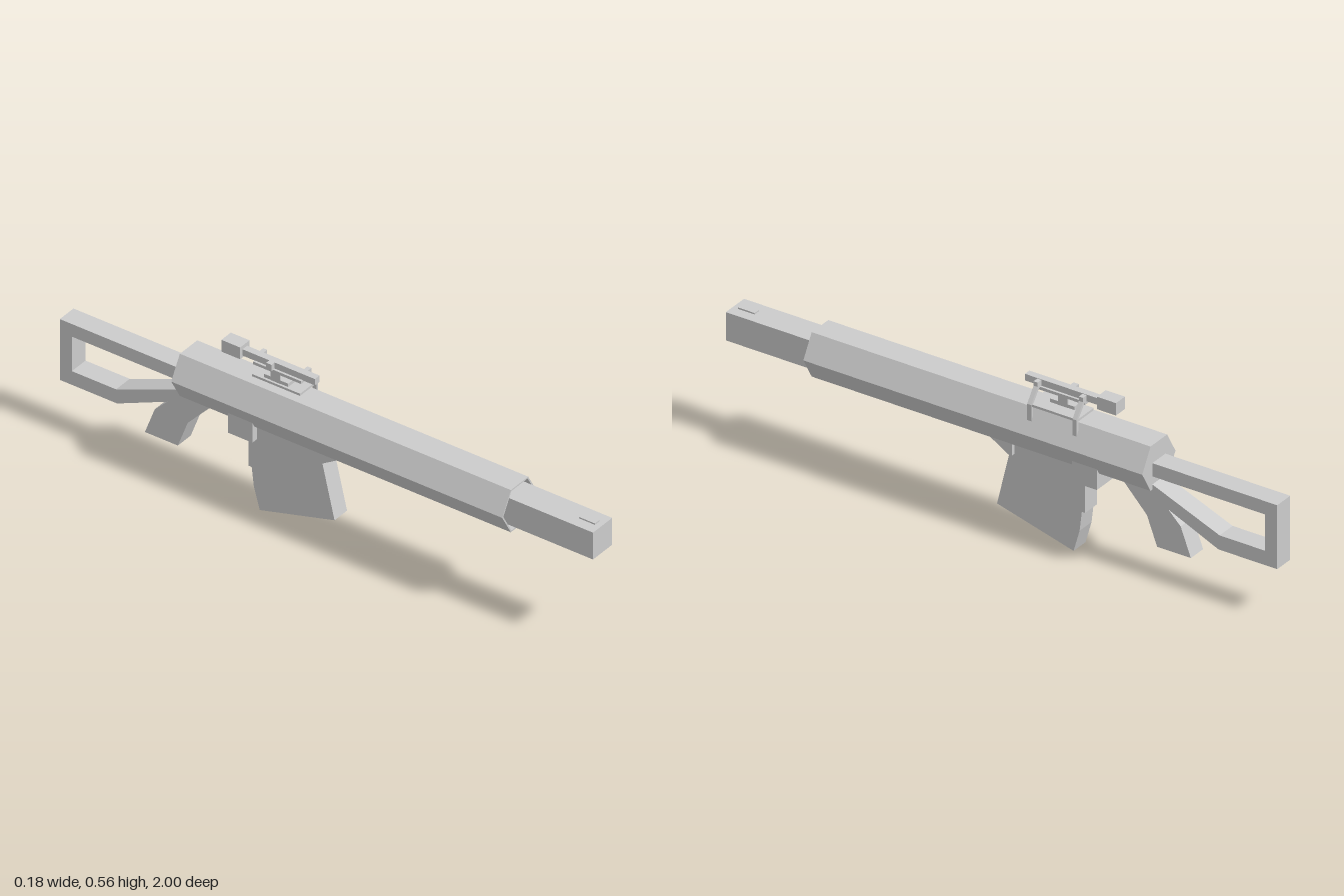
import * as THREE from 'three';

const material = new THREE.MeshStandardMaterial({ color: 0xcccccc, flatShading: true });

function polygon(points) {
  return new THREE.Shape(points.map(([a, b]) => new THREE.Vector2(a, b)));
}

export function createModel() {
  const model = new THREE.Group();

  function add(name, geometry) {
    const mesh = new THREE.Mesh(geometry, material);
    mesh.name = name;
    model.add(mesh);
    return mesh;
  }
  // Box given by its extents on each axis
  function box(name, [x0, x1], [y0, y1], [z0, z1]) {
    const mesh = add(name, new THREE.BoxGeometry(x1 - x0, y1 - y0, z1 - z0));
    mesh.position.set((x0 + x1) / 2, (y0 + y1) / 2, (z0 + z1) / 2);
  }
  // Side outline in (z, y), extruded symmetrically across x
  function sidePlate(name, points, width, hole) {
    const shape = polygon(points);
    if (hole) shape.holes.push(polygon(hole));
    const geometry = new THREE.ExtrudeGeometry(shape, { depth: width, bevelEnabled: false });
    geometry.translate(0, 0, -width / 2).rotateY(-Math.PI / 2);
    add(name, geometry);
  }
  // Front outline in (x, y), extruded from z0 to z1
  function frontPlate(name, points, z0, z1, hole) {
    const shape = polygon(points);
    if (hole) shape.holes.push(polygon(hole));
    const geometry = new THREE.ExtrudeGeometry(shape, { depth: z1 - z0, bevelEnabled: false });
    add(name, geometry.translate(0, 0, z0));
  }
  const hexagon = (r) => Array.from({ length: 6 }, (_, i) => {
    const a = (i * Math.PI) / 3;
    return [r * Math.cos(a), 0.387 + r * Math.sin(a)];
  });

  // Hexagonal body with a recessed front rim
  frontPlate('body', hexagon(0.089), -0.545, 0.65);
  frontPlate('bodyRim', hexagon(0.089), 0.65, 0.69, hexagon(0.083));

  // Square barrel with its small front bead
  box('barrel', [-0.049, 0.049], [0.338, 0.436], [0.6, 1]);
  box('frontBead', [-0.012, 0.012], [0.43, 0.441], [0.92, 0.98]);

  // Open-frame shoulder stock
  sidePlate('stock', [
    [-0.45, 0.402], [-1, 0.402], [-1, 0.18], [-0.786, 0.18], [-0.45, 0.327],
  ], 0.07, [
    [-0.5, 0.356], [-0.955, 0.356], [-0.955, 0.23], [-0.79, 0.23], [-0.5, 0.346],
  ]);

  // Angled hand grip
  sidePlate('grip', [
    [-0.415, 0.33], [-0.524, 0.214], [-0.561, 0.116], [-0.684, 0.116],
    [-0.647, 0.214], [-0.59, 0.27], [-0.54, 0.33],
  ], 0.066);

  // Magazine, its front lip and the rear housing
  sidePlate('magazine', [
    [-0.03, 0.33], [-0.03, 0.3], [0.023, 0.078], [-0.256, 0.003], [-0.278, 0.08],
    [-0.286, 0.148], [-0.298, 0.148], [-0.298, 0.33],
  ], 0.064);
  sidePlate('magazineLip', [[0.045, 0.313], [-0.025, 0.27], [-0.04, 0.27], [-0.04, 0.313]], 0.088);
  box('housing', [-0.056, 0.056], [0.258, 0.337], [-0.357, -0.266]);

  // Scope: tube, eyepiece and adjusting knobs
  box('scopeTube', [-0.012, 0.012], [0.524, 0.547], [-0.34, -0.065]);
  box('eyepiece', [-0.024, 0.024], [0.517, 0.56], [-0.405, -0.335]);
  box('sideKnob', [-0.028, -0.01], [0.524, 0.547], [-0.235, -0.215]);

  // Scope mount: base plate, pedestal and posts
  box('mountPlate', [-0.026, 0.062], [0.475, 0.483], [-0.29, -0.11]);
  box('pedestal', [-0.018, 0.018], [0.483, 0.495], [-0.25, -0.16]);
  box('mountBridge', [-0.02, 0.02], [0.515, 0.525], [-0.29, -0.11]);
  for (const side of [-1, 1]) {
    const x = side * 0.016;
    box('mountPost', [x - 0.003, x + 0.003], [0.483, 0.52], [-0.225, -0.19]);
  }

  // Bent side arms joining the scope to the body
  for (const z of [-0.29, -0.125]) {
    frontPlate('mountArm', [
      [0.01, 0.545], [0.032, 0.545], [0.032, 0.53], [0.066, 0.483], [0.066, 0.42],
      [0.057, 0.435], [0.057, 0.48], [0.024, 0.522], [0.01, 0.522],
    ], z, z + 0.015);
  }
  return model;
}
